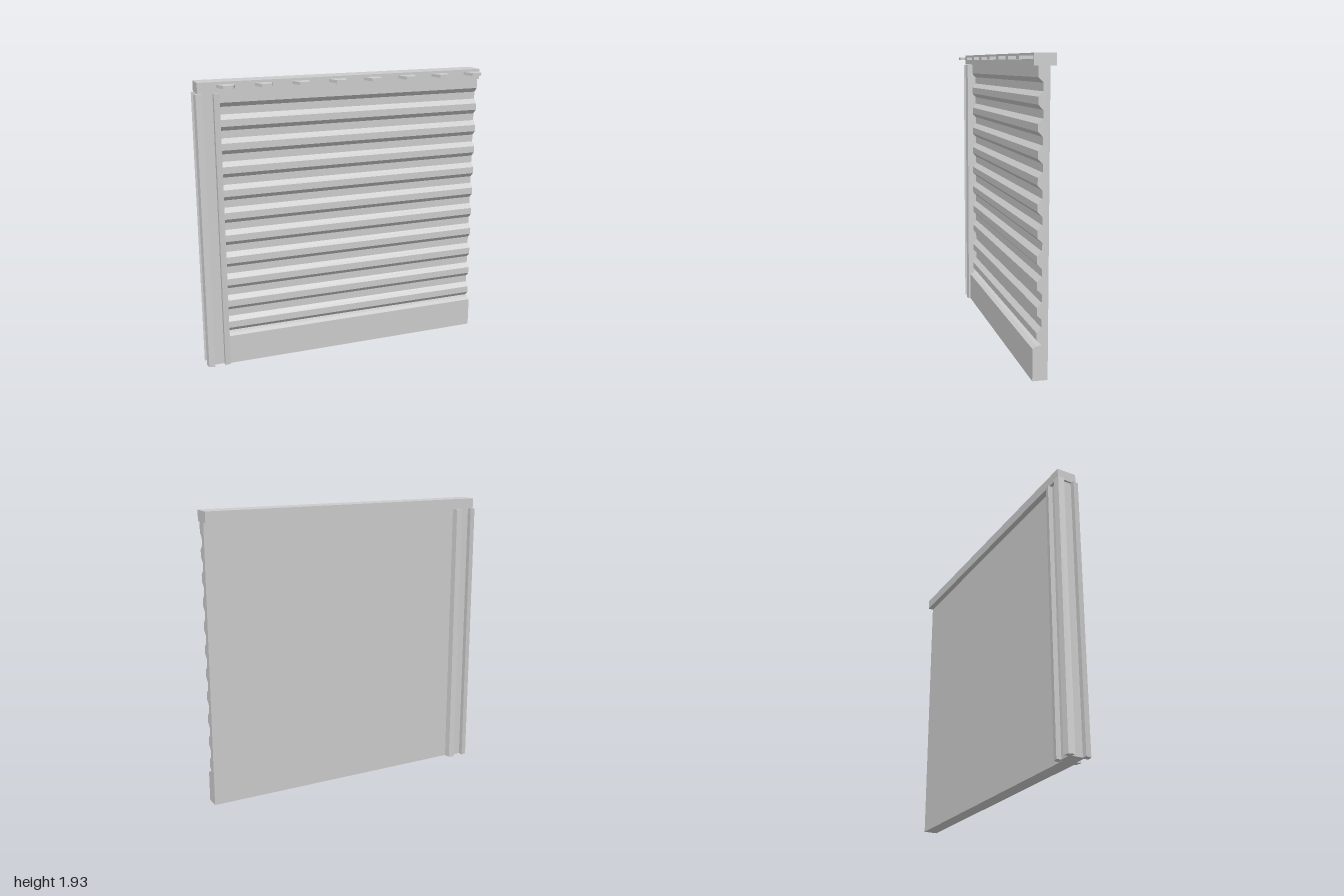
import * as THREE from 'three';

export function createModel() {
  const model = new THREE.Group();
  const material = new THREE.MeshStandardMaterial({ color: 0xcccccc, flatShading: true });
  const add = (name, geometry, x = 0, y = 0, z = 0) => {
    const mesh = new THREE.Mesh(geometry, material);
    mesh.name = name;
    mesh.position.set(x, y, z);
    model.add(mesh);
    return mesh;
  };
  const extrude = (points, depth) => new THREE.ExtrudeGeometry(
    new THREE.Shape(points.map(([a, b]) => new THREE.Vector2(a, b))),
    { depth, bevelEnabled: false });

  // Panel with skirting board and corrugated siding: one (z, y) profile run along x
  const back = -0.065, valley = -0.025, ridge = 0.005, pitch = 0.154;
  const profile = [[back, 0], [0.03, 0], [0.03, 0.2], [ridge, 0.215], [valley, 0.22]];
  for (let i = 0; i < 11; i++) {
    const y = 0.22 + i * pitch;
    if (i > 0) profile.push([valley, y]);
    profile.push([ridge, y + 0.03]);
    if (i < 10) profile.push([ridge, y + 0.075], [valley, y + 0.105]);
  }
  profile.push([ridge, 1.857], [back, 1.857]);
  add('sidingPanel', extrude(profile, 1.87).rotateY(-Math.PI / 2), 1);

  // Post with a groove down each face and slightly splayed corner lobes
  const lobe = [[0.05, 0.036], [0.083, 0.036], [0.075, 0.075], [0.036, 0.083], [0.036, 0.05]];
  const section = [];
  for (let q = 0; q < 4; q++) {
    const c = Math.round(Math.cos(q * Math.PI / 2)), s = Math.round(Math.sin(q * Math.PI / 2));
    for (const [a, b] of lobe) section.push([a * c - b * s, a * s + b * c]);
  }
  add('cornerPost', extrude(section, 1.855).rotateX(-Math.PI / 2), -0.917, 0, -0.033);

  // Top beam
  add('topBeam', new THREE.BoxGeometry(1.98, 0.07, 0.135), 0.01, 1.891, -0.035);

  // Row of tapered pegs along the front of the beam
  const peg = extrude([[-0.06, 0], [0.06, 0], [0.033, -0.082], [-0.033, -0.082]], 0.02)
    .rotateX(-Math.PI / 2);
  for (let i = 0; i < 8; i++) add('peg', peg, -0.8 + i * 0.248, 1.89, 0.03);

  return model;
}
